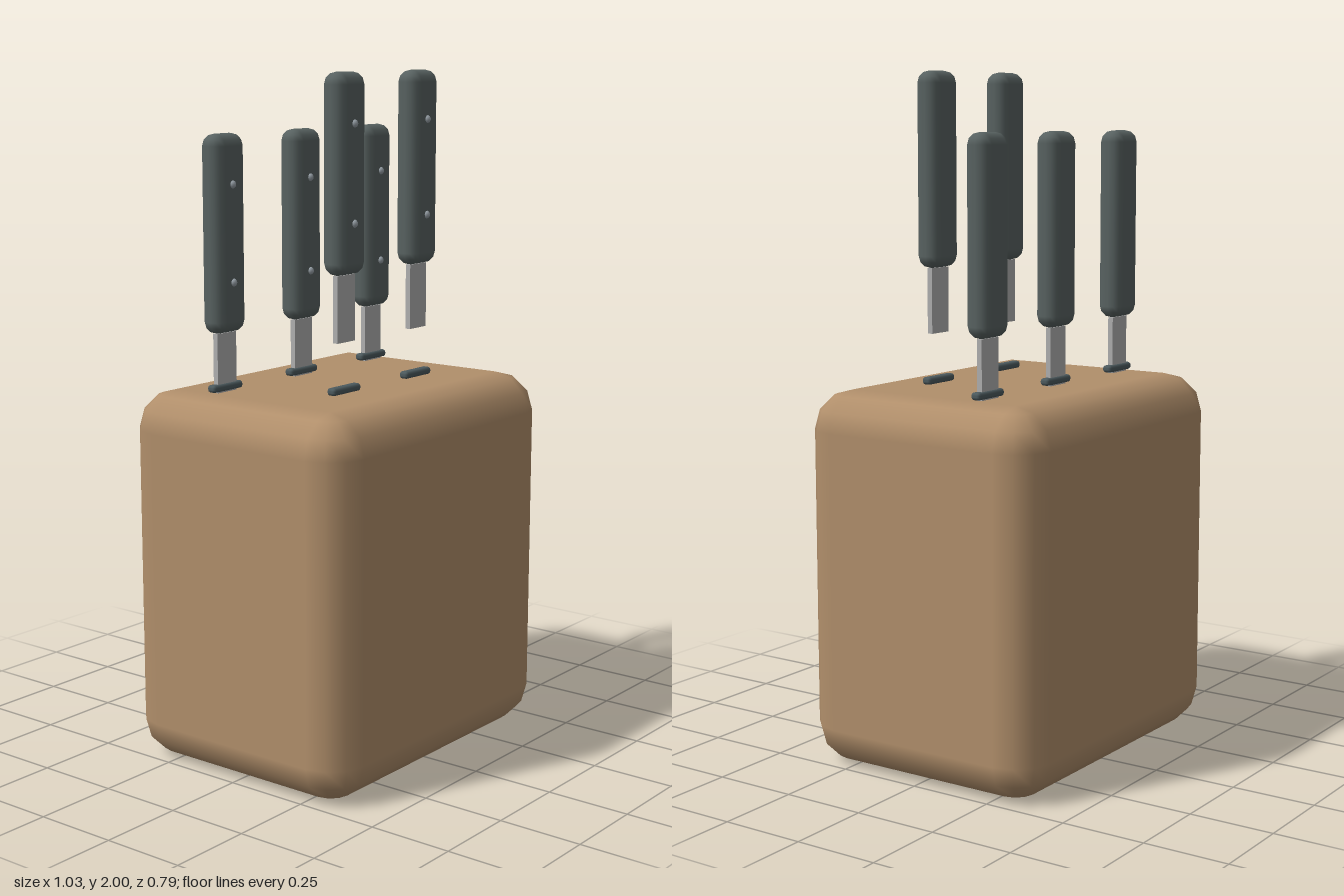
import * as THREE from 'three';

const wood = new THREE.MeshStandardMaterial({ color: 0xb18f6b, name: 'wood' });
const handleGrey = new THREE.MeshStandardMaterial({ color: 0x586261, name: 'handle grey' });
const steel = new THREE.MeshStandardMaterial({ color: 0xb0b0b0, name: 'steel' });
const rivetSteel = new THREE.MeshStandardMaterial({ color: 0x98a1a8, name: 'rivet steel' });
const slotGrey = new THREE.MeshStandardMaterial({ color: 0x4c5a5e, name: 'slot grey' });

// Box with every edge rounded in three steps: a sphere grid pulled apart at its quadrants.
function roundedBox(w, h, d, r) {
  const cols = 16, lats = [90, 90, 60, 30, 0, 0, -30, -60, -90, -90];
  const geo = new THREE.PlaneGeometry(1, 1, cols, lats.length - 1);
  const pos = geo.attributes.position, nor = geo.attributes.normal;
  lats.forEach((lat, row) => {
    const la = THREE.MathUtils.degToRad(lat);
    const cap = row === 0 || row === lats.length - 1; // centre of the flat end
    for (let c = 0; c <= cols; c++) {
      const k = c % cols, quad = Math.floor(k / 4);
      const a = (quad * 90 + (k % 4) * 30) * Math.PI / 180;
      const sx = quad === 0 || quad === 3 ? 1 : -1, sz = quad < 2 ? 1 : -1;
      const nx = Math.cos(la) * Math.cos(a), ny = Math.sin(la), nz = Math.cos(la) * Math.sin(a);
      const i = row * (cols + 1) + c;
      pos.setXYZ(i,
        cap ? 0 : sx * (w / 2 - r) + nx * r,
        (row < 5 ? 1 : -1) * (h / 2 - r) + ny * r,
        cap ? 0 : sz * (d / 2 - r) + nz * r);
      nor.setXYZ(i, nx, ny, nz);
    }
  });
  // The grid runs the other way round the y axis, so flip the winding.
  const idx = geo.index;
  for (let t = 0; t < idx.count; t += 3) {
    const b = idx.getX(t + 1);
    idx.setX(t + 1, idx.getX(t + 2));
    idx.setX(t + 2, b);
  }
  // Face outwards whichever way the grid was wound.
  const p = [0, 1, 2].map(() => new THREE.Vector3());
  let volume = 0;
  for (let t = 0; t < idx.count; t += 3) {
    p.forEach((v, j) => v.fromBufferAttribute(pos, idx.getX(t + j)));
    volume += p[0].dot(p[1].clone().cross(p[2]));
  }
  if (volume < 0) idx.array.reverse();
  return geo;
}

function add(parent, name, geo, mat, x, y, z) {
  const mesh = new THREE.Mesh(geo, mat);
  mesh.name = name;
  mesh.position.set(x, y, z);
  parent.add(mesh);
}

export function createModel() {
  const model = new THREE.Group();
  model.name = 'knifeBlock';

  add(model, 'block', roundedBox(1.03, 1.1, 0.79, 0.115), wood, 0, 0.55, 0);

  const handleGeo = roundedBox(0.13, 0.56, 0.075, 0.034);
  const bladeGeo = new THREE.BoxGeometry(0.08, 0.19, 0.016);
  const slotGeo = roundedBox(0.125, 0.022, 0.03, 0.009);
  const rivetGeo = new THREE.SphereGeometry(0.012, 12, 8);

  // Knives: x, z and the height of the handle's lower end
  const knives = [
    [-0.344, -0.148, 1.27], [0, -0.148, 1.27], [0.344, -0.148, 1.27],
    [-0.172, 0.148, 1.44], [0.172, 0.148, 1.44],
  ];
  for (const [x, z, base] of knives) {
    add(model, 'slot', slotGeo, slotGrey, x, 1.114, z);
    const knife = new THREE.Group();
    knife.name = 'knife';
    knife.position.set(x, base, z);
    add(knife, 'handle', handleGeo, handleGrey, 0, 0.28, 0);
    add(knife, 'blade', bladeGeo, steel, 0, -0.095, 0);
    for (const y of [0.145, 0.42]) add(knife, 'rivet', rivetGeo, rivetSteel, 0, y, 0.034);
    model.add(knife);
  }
  return model;
}
